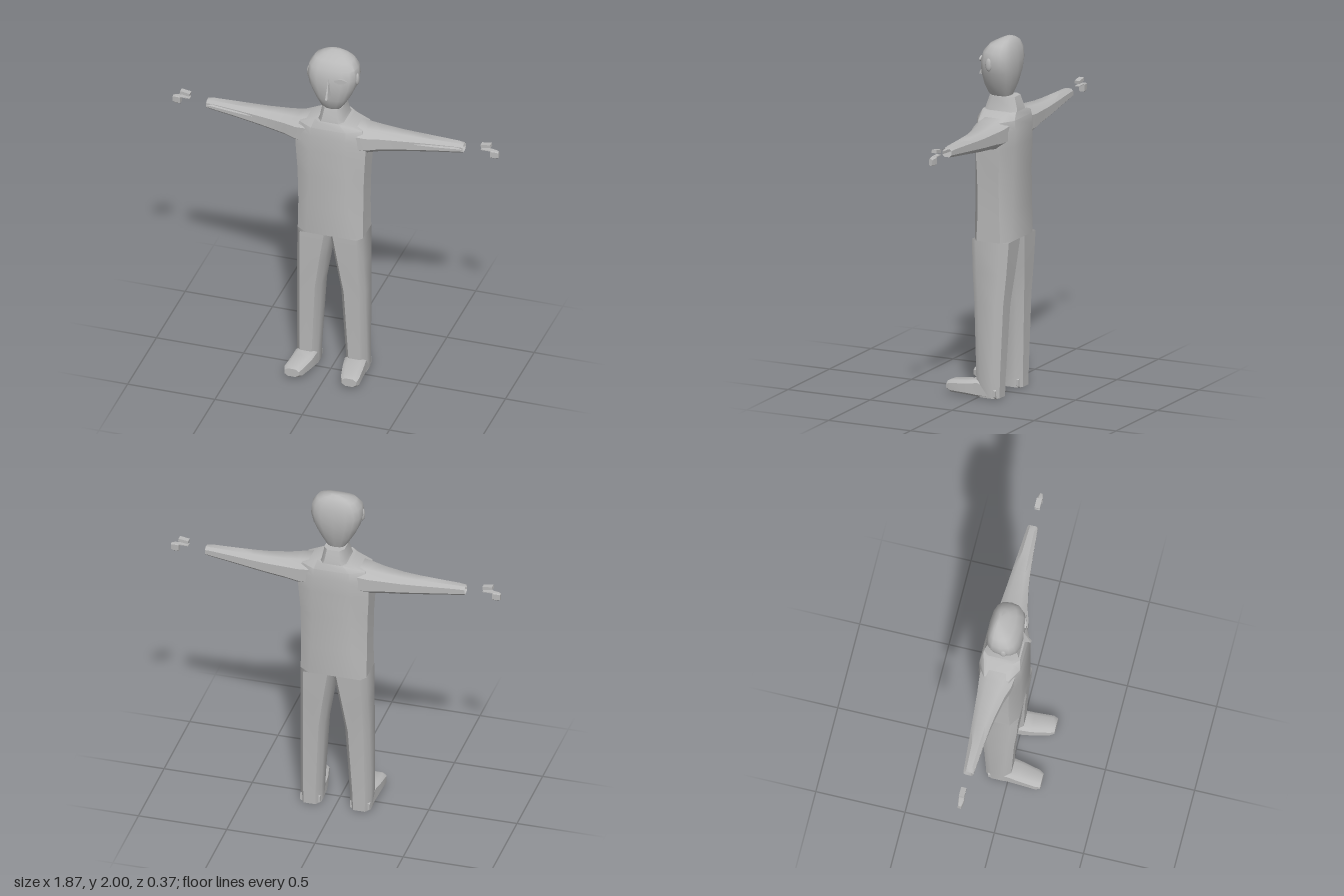
import * as THREE from 'three';
import { toCreasedNormals } from 'three/addons/utils/BufferGeometryUtils.js';

const grey = new THREE.MeshStandardMaterial({ color: 0xb8b8b8, side: THREE.DoubleSide });
grey.name = 'plain grey';

// Joins equal rings of points into a skin, closing the ends on request.
function loft(rings, { start = true, end = true, crease = 0.75 } = {}) {
  const n = rings[0].length;
  const points = rings.flat();
  const faces = [];
  for (let r = 0; r < rings.length - 1; r++) {
    for (let i = 0; i < n; i++) {
      const a = r * n + i, b = r * n + (i + 1) % n;
      faces.push([a, b, b + n], [a, b + n, a + n]);
    }
  }
  const last = (rings.length - 1) * n;
  for (let i = 1; i < n - 1; i++) {
    if (start) faces.push([0, i + 1, i]);
    if (end) faces.push([last, last + i, last + i + 1]);
  }
  // Turn all faces outward, whichever way the rings run.
  const mid = points.reduce((m, p) => m.add(p), new THREE.Vector3()).divideScalar(points.length);
  let volume = 0;
  for (const f of faces) {
    const [a, b, c] = f.map((i) => points[i].clone().sub(mid));
    volume += a.dot(b.cross(c));
  }
  if (volume < 0) faces.forEach((f) => f.reverse());
  const geometry = new THREE.BufferGeometry().setFromPoints(points);
  geometry.setIndex(faces.flat());
  return toCreasedNormals(geometry, crease);
}

// Rectangle with cut corners, as eight [u, v] points.
const octagon = (u0, u1, v0, v1, cu, cv) => [
  [u0 + cu, v0], [u1 - cu, v0], [u1, v0 + cv], [u1, v1 - cv],
  [u1 - cu, v1], [u0 + cu, v1], [u0, v1 - cv], [u0, v0 + cv],
];

// Rounded box outline.
function rounded(u0, u1, v0, v1, n = 16, power = 0.72) {
  const bend = (t) => Math.sign(t) * Math.abs(t) ** power;
  return Array.from({ length: n }, (_, i) => {
    const a = (i / n) * Math.PI * 2;
    return [(u0 + u1) / 2 + bend(Math.cos(a)) * (u1 - u0) / 2,
      (v0 + v1) / 2 + bend(Math.sin(a)) * (v1 - v0) / 2];
  });
}

const atY = (y, ring, s = 1) => ring.map(([x, z]) => new THREE.Vector3(s * x, y, z));
const atZ = (z, ring, s = 1) => ring.map(([x, y]) => new THREE.Vector3(s * x, y, z));
const atX = (x, ring, s = 1) => ring.map(([y, z]) => new THREE.Vector3(s * x, y, z));

export function createModel() {
  const model = new THREE.Group();
  model.name = 'figure';
  const add = (name, geometry, parent = model) => {
    const mesh = new THREE.Mesh(geometry, grey);
    mesh.name = name;
    parent.add(mesh);
    return mesh;
  };

  // Torso: height, half width, back, front, corner cut across and deep
  add('torso', loft([
    [0.88, 0.187, -0.175, 0.05, 0.06, 0.04],
    [1.05, 0.186, -0.177, 0.052, 0.07, 0.05],
    [1.25, 0.19, -0.177, 0.054, 0.08, 0.05],
    [1.41, 0.2, -0.183, 0.054, 0.09, 0.045],
    [1.5, 0.2, -0.185, 0.052, 0.1, 0.045],
    [1.555, 0.18, -0.18, 0.047, 0.08, 0.045],
    [1.592, 0.09, -0.168, 0.035, 0.03, 0.03],
  ].map(([y, w, b, f, cu, cv]) => atY(y, octagon(-w, w, b, f, cu, cv))), { start: false }));

  // Neck with collar
  add('neck', loft([
    [1.58, 0.078, -0.17, 0.027],
    [1.61, 0.066, -0.165, 0.022],
    [1.67, 0.057, -0.147, 0.004],
  ].map(([y, w, b, f]) => atY(y, octagon(-w, w, b, f, 0.022, 0.03)))));

  // Head: height, half width, back, front
  add('head', loft([
    [1.66, 0.045, -0.105, -0.005],
    [1.685, 0.065, -0.115, 0.018],
    [1.74, 0.098, -0.135, 0.036],
    [1.81, 0.13, -0.15, 0.044],
    [1.87, 0.145, -0.153, 0.042],
    [1.925, 0.138, -0.148, 0.028],
    [1.965, 0.11, -0.135, -0.005],
    [1.985, 0.07, -0.122, -0.045],
    [2.0, 0.025, -0.105, -0.08],
  ].map(([y, w, b, f]) => atY(y, rounded(-w, w, b, f)))));

  // Nose wedge
  add('nose', loft([
    [1.77, 0.016, 0.03, 0.085],
    [1.8, 0.013, 0.03, 0.072],
    [1.88, 0.003, 0.03, 0.045],
  ].map(([y, w, b, f]) => atY(y, [[-w, b], [w, b], [w * 0.4, f], [-w * 0.4, f]]))));

  // Single almond eye
  const almond = new THREE.Shape();
  almond.moveTo(-0.037, 0);
  almond.quadraticCurveTo(0, 0.032, 0.037, 0.002);
  almond.quadraticCurveTo(0, -0.028, -0.037, 0);
  const eye = add('leftEye', new THREE.ExtrudeGeometry(almond, { depth: 0.009, bevelEnabled: false }));
  eye.position.set(0.067, 1.874, 0.033);
  eye.rotation.y = 0.16;

  for (const s of [1, -1]) {
    const side = s > 0 ? 'left' : 'right';

    // Ear
    const ear = add(side + 'Ear', new THREE.SphereGeometry(1, 10, 8));
    ear.scale.set(0.012, 0.037, 0.02);
    ear.position.set(s * 0.138, 1.862, -0.04);

    // Arm: distance out, bottom, top, back, front, depth of the sleeve slit
    add(side + 'Arm', loft([
      [0.13, 1.41, 1.572, -0.165, 0.03, 0],
      [0.2, 1.412, 1.56, -0.16, 0.02, 0],
      [0.27, 1.425, 1.552, -0.152, -0.003, 0],
      [0.38, 1.438, 1.544, -0.143, -0.025, 0],
      [0.46, 1.449, 1.542, -0.137, -0.036, 0],
      [0.57, 1.464, 1.541, -0.128, -0.047, 0.025],
      [0.7, 1.481, 1.54, -0.118, -0.057, 0.012],
      [0.735, 1.487, 1.536, -0.115, -0.06, 0],
    ].map(([x, y0, y1, b, f, slit]) => {
      const [low, high] = [y0, y1].map((y) => y);
      const ring = octagon(low, high, b, f, (high - low) * 0.25, (f - b) * 0.25);
      const y = low + (high - low) * 0.6;
      ring.splice(5, 0, [y + 0.006, f], [y, f - slit], [y - 0.006, f]);
      return atX(x, ring, s);
    }), { end: false }));

    // Leg: height, inner, outer, back, front
    add(side + 'Leg', loft([
      [0.005, 0.082, 0.198, -0.125, 0.012],
      [0.1, 0.08, 0.2, -0.127, 0.016],
      [0.52, 0.058, 0.196, -0.145, 0.03],
      [0.7, 0.03, 0.191, -0.162, 0.043],
      [0.88, 0, 0.187, -0.175, 0.05],
    ].map(([y, i, o, b, f]) => atY(y, octagon(i, o, b, f, 0.025, 0.035), s)), { end: false }));

    // Foot: distance forward, inner, outer, bottom, top
    add(side + 'Foot', loft([
      [-0.11, 0.085, 0.197, 0, 0.06],
      [0, 0.08, 0.2, 0.002, 0.098],
      [0.06, 0.088, 0.205, 0.008, 0.088],
      [0.16, 0.11, 0.213, 0.015, 0.083],
      [0.185, 0.122, 0.206, 0.026, 0.074],
    ].map(([z, i, o, b, t]) => atZ(z, octagon(i, o, b, t, 0.02, 0.014), s))));

    // Loose finger pieces beyond the cuff
    const fingers = new THREE.Group();
    fingers.name = side + 'Fingers';
    model.add(fingers);
    const thumb = add('upperFinger', new THREE.BoxGeometry(0.056, 0.018, 0.03), fingers);
    thumb.position.set(s * 0.862, 1.55, -0.088);
    thumb.rotation.z = s * 0.15;
    const strip = add('fingerStrip', new THREE.BoxGeometry(0.058, 0.004, 0.028), fingers);
    strip.position.set(s * 0.863, 1.524, -0.088);
    add('fingerTip', loft([
      [0.888, 1.482, 1.526, -0.105, -0.072],
      [0.915, 1.479, 1.525, -0.102, -0.075],
      [0.933, 1.483, 1.521, -0.098, -0.079],
    ].map(([x, y0, y1, b, f]) => atX(x, octagon(y0, y1, b, f, 0.005, 0.005), s))), fingers);
  }
  return model;
}
